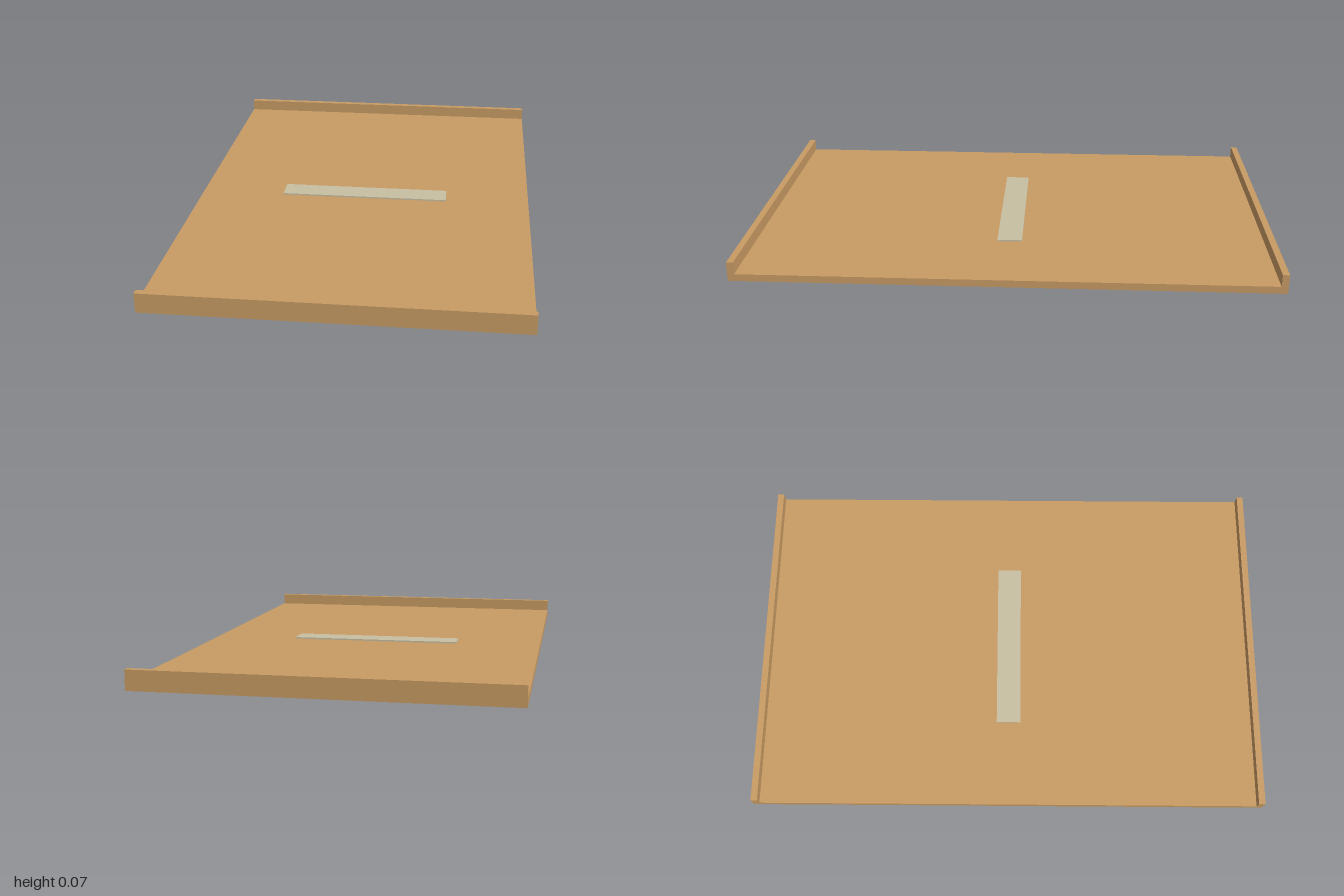
import * as THREE from 'three';

const WIDTH = 1.333, LENGTH = 2, BASE = 0.027, RIM_TOP = 0.073, RIM = 0.025;

export function createModel() {
  const model = new THREE.Group();
  model.name = 'tray';
  const wood = new THREE.MeshStandardMaterial({ color: 0xc89b63 });
  wood.name = 'wood';
  const pale = new THREE.MeshStandardMaterial({ color: 0xc8bfa2 });
  pale.name = 'paleStrip';

  // Box resting with its underside at the given height
  const addBox = (name, material, w, h, d, bottom, z = 0) => {
    const mesh = new THREE.Mesh(new THREE.BoxGeometry(w, h, d), material);
    mesh.name = name;
    mesh.position.set(0, bottom + h / 2, z);
    model.add(mesh);
  };

  // Flat board
  addBox('board', wood, WIDTH, BASE, LENGTH, 0);

  // Raised lips along the two short ends
  for (const [name, side] of [['frontLip', 1], ['backLip', -1]]) {
    addBox(name, wood, WIDTH, RIM_TOP - BASE, RIM, BASE, side * (LENGTH - RIM) / 2);
  }

  // Thin pale strip across the middle of the board
  addBox('centerStrip', pale, 0.667, 0.006, 0.095, BASE);

  return model;
}
